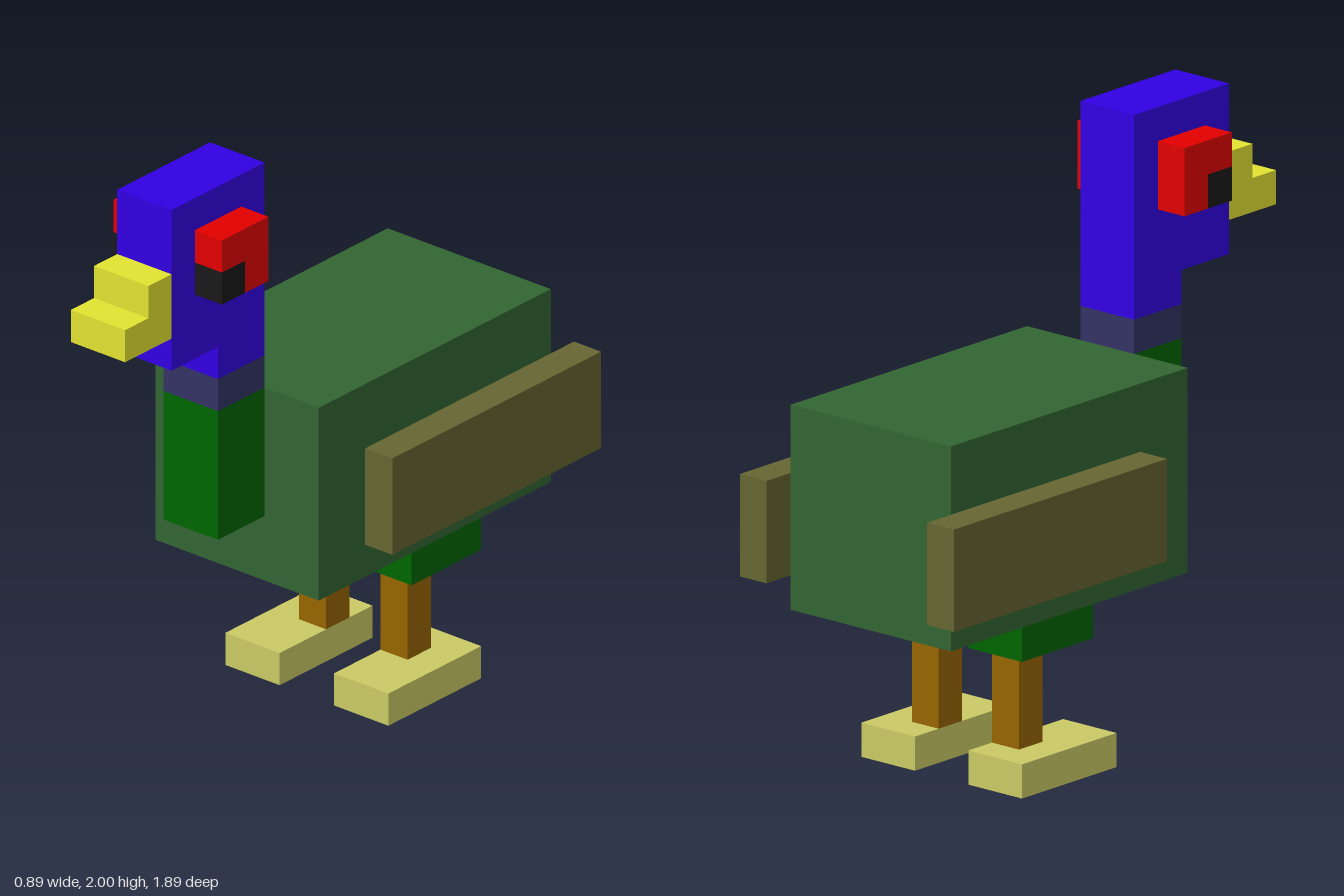
import * as THREE from 'three';

const U = 1 / 9; // one block

const paint = (name, color) => {
  const m = new THREE.MeshStandardMaterial({ color });
  m.name = name;
  return m;
};

export function createModel() {
  const bodyGreen = paint('bodyGreen', 0x336633);
  const deepGreen = paint('deepGreen', 0x006600);
  const blue = paint('blue', 0x3300e5);
  const collarGrey = paint('collarGrey', 0x333366);
  const red = paint('red', 0xe50000);
  const black = paint('black', 0x191919);
  const yellow = paint('yellow', 0xe5e533);
  const olive = paint('olive', 0x666633);
  const legBrown = paint('legBrown', 0x996600);
  const footTan = paint('footTan', 0xcccc66);

  const bird = new THREE.Group();
  bird.name = 'bird';

  // Box from its limits in blocks
  const block = (parent, name, material, [x0, x1], [y0, y1], [z0, z1]) => {
    const geometry = new THREE.BoxGeometry((x1 - x0) * U, (y1 - y0) * U, (z1 - z0) * U);
    const mesh = new THREE.Mesh(geometry, material);
    mesh.name = name;
    mesh.position.set((x0 + x1) / 2, (y0 + y1) / 2, (z0 + z1) / 2).multiplyScalar(U);
    parent.add(mesh);
  };

  block(bird, 'body', bodyGreen, [-3, 3], [5, 11], [-7.5, 2.5]);

  // Neck, collar and head
  block(bird, 'lowerNeck', deepGreen, [-1, 1], [7, 11], [2.5, 4.5]);
  block(bird, 'collar', collarGrey, [-1, 1], [11, 12], [2.5, 4.5]);
  block(bird, 'upperNeck', blue, [-1, 1], [12, 13], [2.5, 4.5]);
  block(bird, 'head', blue, [-1, 1], [13, 18], [2.5, 6.5]);

  // Stepped beak
  block(bird, 'lowerBeak', yellow, [-1, 1], [14, 15], [6.5, 8.5]);
  block(bird, 'upperBeak', yellow, [-1, 1], [15, 16], [6.5, 7.5]);

  // Paired parts
  for (const [side, s] of [['left', 1], ['right', -1]]) {
    const span = (a, b) => (s > 0 ? [a, b] : [-b, -a]);

    const eye = new THREE.Group();
    eye.name = side + 'Eye';
    block(eye, 'eyeTop', red, span(1, 2), [16, 17], [3.5, 5.5]);
    block(eye, 'eyeBack', red, span(1, 2), [15, 16], [3.5, 4.5]);
    block(eye, 'pupil', black, span(1, 2), [15, 16], [4.5, 5.5]);
    bird.add(eye);

    block(bird, side + 'Wing', olive, span(3, 4), [6, 9], [-8.5, 0.5]);

    const leg = new THREE.Group();
    leg.name = side + 'Leg';
    block(leg, 'thigh', deepGreen, span(1, 3), [4, 5], [-4.5, -1.5]);
    block(leg, 'shin', legBrown, span(1, 2), [1, 4], [-3.5, -2.5]);
    block(leg, 'foot', footTan, span(1, 3), [0, 1], [-4.5, -0.5]);
    bird.add(leg);
  }

  return bird;
}
